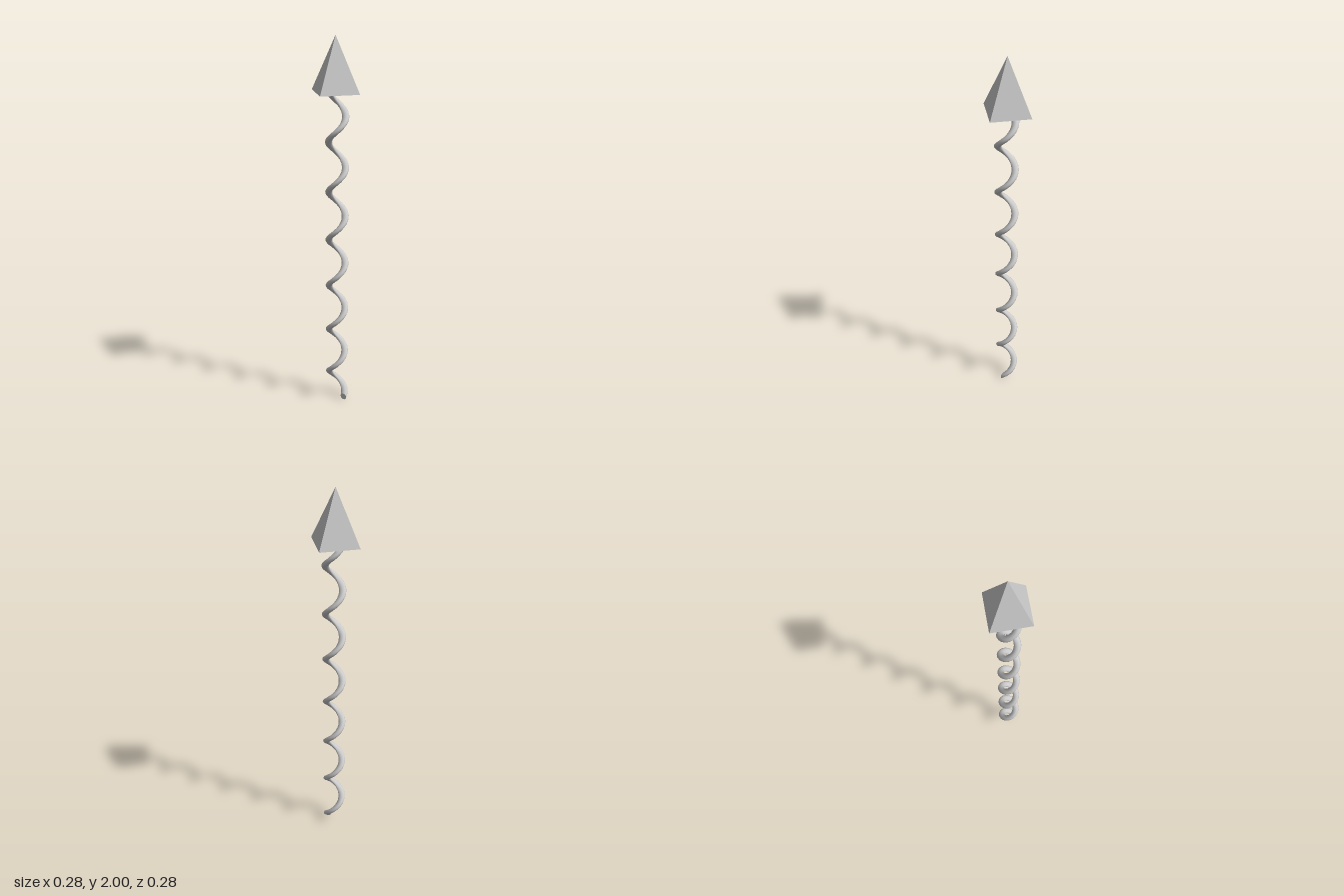
import * as THREE from 'three';
import { ParametricGeometry } from 'three/addons/geometries/ParametricGeometry.js';

const COIL_RADIUS = 0.0425, WIRE_RADIUS = 0.0183, PITCH = 0.261, TURNS = 6.6;
const COIL_X = 0.009, START_Y = 0.0195;

export function createModel() {
  const model = new THREE.Group();
  const grey = new THREE.MeshStandardMaterial({ color: 0xcccccc });
  const faceted = new THREE.MeshStandardMaterial({ color: 0xcccccc, flatShading: true });

  // Four-sided pyramid head, corners on the x and z axes
  const head = new THREE.Mesh(new THREE.ConeGeometry(0.139, 0.272, 4), faceted);
  head.name = 'pyramidHead';
  head.position.y = 2 - 0.136;
  model.add(head);

  // Corkscrew shaft: an upright circle swept around and up the axis
  const screw = (u, v, target) => {
    const turn = u * TURNS * Math.PI * 2, around = v * Math.PI * 2;
    const r = COIL_RADIUS + WIRE_RADIUS * Math.cos(around);
    target.set(
      r * Math.cos(turn),
      START_Y + u * TURNS * PITCH + WIRE_RADIUS * Math.sin(around),
      -r * Math.sin(turn)
    );
  };
  const shaft = new THREE.Group();
  shaft.name = 'corkscrewShaft';
  shaft.position.x = COIL_X;
  const coil = new THREE.Mesh(new ParametricGeometry(screw, Math.round(TURNS * 20), 12), grey);
  coil.name = 'coil';
  shaft.add(coil);

  // Flat disc closing the lower end of the wire
  const cap = new THREE.Mesh(new THREE.CircleGeometry(WIRE_RADIUS, 12), grey);
  cap.name = 'coilEndCap';
  cap.position.set(COIL_RADIUS, START_Y, 0);
  shaft.add(cap);
  model.add(shaft);

  return model;
}
